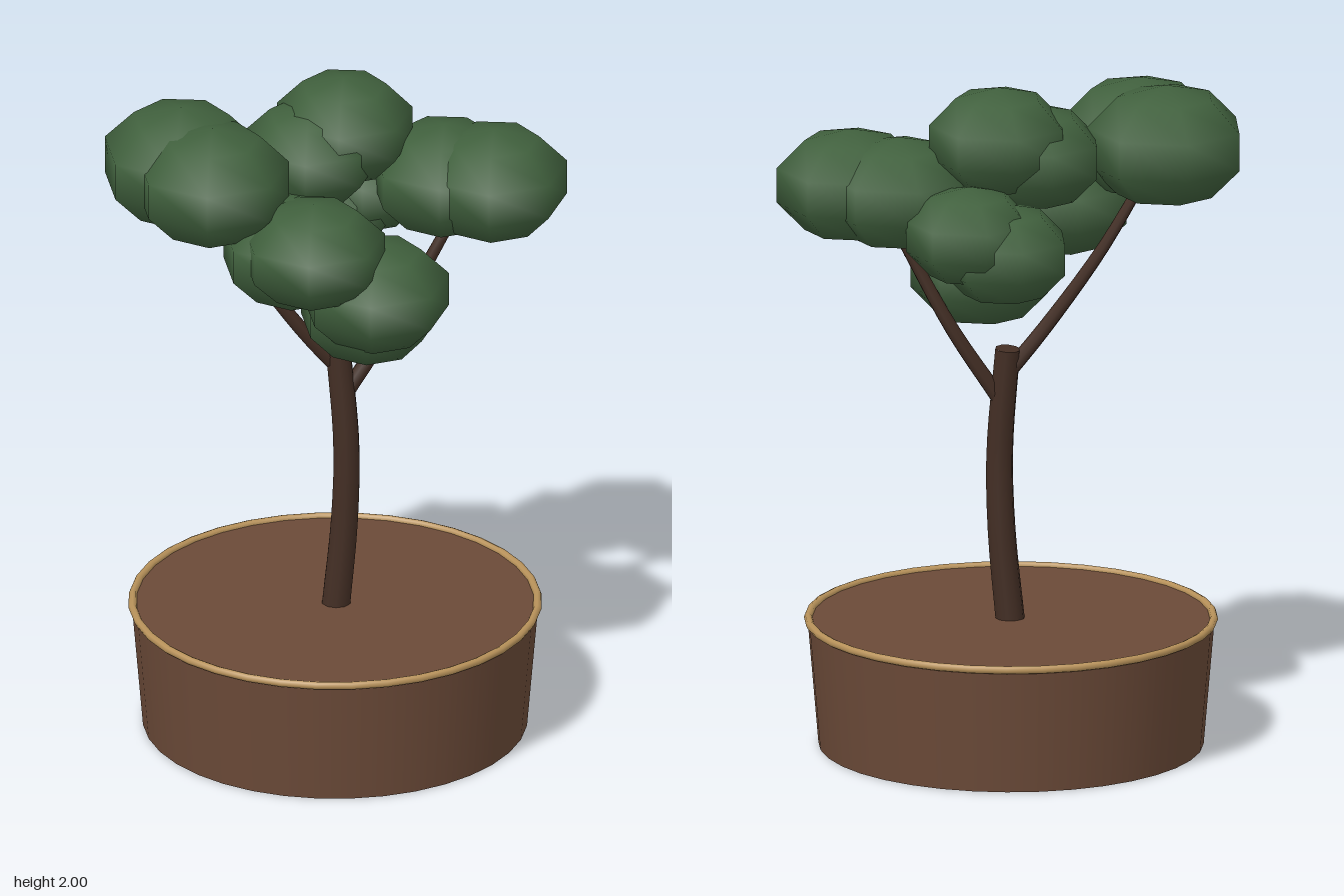
import * as THREE from 'three';

const mat = (color) => new THREE.MeshStandardMaterial({ color });
const potMat = mat(0x6b4a38);
const rimMat = mat(0xb8925a);
const barkMat = mat(0x432e24);
const leafMat = mat(0x40603d);

function add(group, name, geometry, material) {
  const mesh = new THREE.Mesh(geometry, material);
  mesh.name = name;
  group.add(mesh);
  return mesh;
}

// Curved limb whose radius shrinks from r0 to r1, closed by a disc at its tip
function limb(name, points, r0, r1, sides) {
  const curve = new THREE.CatmullRomCurve3(points.map((p) => new THREE.Vector3(...p)));
  const rings = 12;
  const geo = new THREE.TubeGeometry(curve, rings, 1, sides);
  const pos = geo.attributes.position;
  const v = new THREE.Vector3();
  for (let i = 0; i <= rings; i++) {
    const center = curve.getPointAt(i / rings);
    const r = THREE.MathUtils.lerp(r0, r1, i / rings);
    for (let j = 0; j <= sides; j++) {
      const k = i * (sides + 1) + j;
      v.fromBufferAttribute(pos, k).sub(center).multiplyScalar(r).add(center);
      pos.setXYZ(k, v.x, v.y, v.z);
    }
  }
  const group = new THREE.Group();
  group.name = name;
  add(group, name + 'Bark', geo, barkMat);
  const tip = add(group, name + 'Tip', new THREE.CircleGeometry(r1, sides), barkMat);
  tip.position.copy(curve.getPointAt(1));
  tip.lookAt(tip.position.clone().add(curve.getTangentAt(1)));
  return group;
}

export function createModel() {
  const model = new THREE.Group();
  model.name = 'pottedTree';

  // Tapered pot, filled to the brim, with a thin rim
  const pot = add(model, 'pot', new THREE.CylinderGeometry(0.592, 0.56, 0.375, 36), potMat);
  pot.position.set(0.007, 0.1875, 0);
  const rim = add(model, 'potRim', new THREE.TorusGeometry(0.59, 0.012, 8, 36), rimMat);
  rim.rotation.x = Math.PI / 2;
  rim.position.set(0.007, 0.375, 0);

  // Bent trunk and two branches
  model.add(limb('trunk', [[0.006, 0.36, 0.005], [0.03, 0.64, 0.015], [0.036, 0.88, 0.015], [0.025, 1.19, -0.013]], 0.043, 0.037, 10));
  model.add(limb('leftBranch', [[0.045, 1.04, 0.005], [0.17, 1.25, 0.06], [0.30, 1.53, 0.135], [0.38, 1.68, 0.16]], 0.024, 0.015, 7));
  model.add(limb('rightBranch', [[0.03, 1.11, -0.01], [-0.07, 1.24, -0.05], [-0.22, 1.48, -0.13], [-0.34, 1.7, -0.18]], 0.024, 0.015, 7));

  // Foliage clumps: x, y, z, radius, half height
  const clumps = [
    [-0.389, 1.797, -0.215, 0.243, 0.18],
    [-0.385, 1.79, -0.06, 0.237, 0.176],
    [0.092, 1.84, -0.08, 0.213, 0.16],
    [-0.02, 1.78, -0.09, 0.208, 0.155],
    [0.426, 1.685, 0.205, 0.227, 0.167],
    [0.337, 1.678, 0.08, 0.226, 0.167],
    [0.15, 1.54, -0.22, 0.2, 0.15],
    [0.243, 1.597, -0.18, 0.195, 0.147],
    [-0.205, 1.618, 0.197, 0.22, 0.155],
    [-0.2, 1.585, 0.09, 0.225, 0.163],
    [-0.019, 1.458, 0.245, 0.227, 0.163],
    [0.01, 1.385, 0.17, 0.218, 0.165],
  ];
  const foliage = new THREE.Group();
  foliage.name = 'foliage';
  model.add(foliage);
  const ball = new THREE.SphereGeometry(1, 7, 5);
  clumps.forEach(([x, y, z, r, h], i) => {
    const clump = add(foliage, 'leafClump' + (i + 1), ball, leafMat);
    clump.position.set(x, y, z);
    clump.scale.set(r, h, r);
  });

  return model;
}
